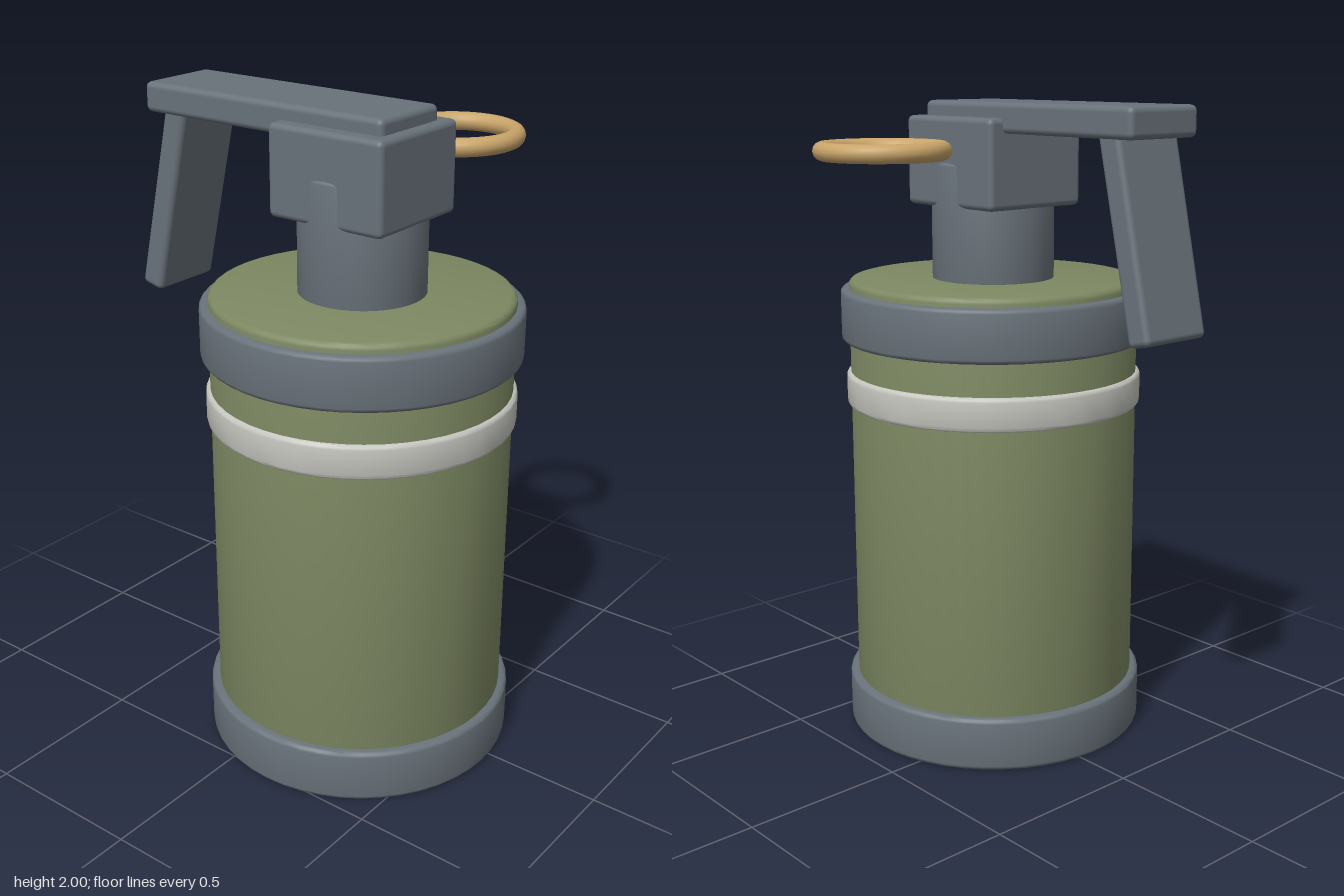
import * as THREE from 'three';
import { toCreasedNormals } from 'three/addons/utils/BufferGeometryUtils.js';
import { RoundedBoxGeometry } from 'three/addons/geometries/RoundedBoxGeometry.js';

const CX = -0.053, CZ = 0.155; // canister axis

export function createModel() {
  const model = new THREE.Group();
  model.name = 'canister';

  const material = (name, color) => {
    const m = new THREE.MeshStandardMaterial({ color });
    m.name = name;
    return m;
  };
  const olive = material('olive paint', 0x7d8862);
  const steel = material('grey steel', 0x69727a);
  const white = material('off-white band', 0xc4c5be);
  const brass = material('brass', 0xc8a469);

  const add = (name, geometry, mat, x, y, z) => {
    const mesh = new THREE.Mesh(geometry, mat);
    mesh.name = name;
    mesh.position.set(x, y, z);
    model.add(mesh);
    return mesh;
  };

  // Solid disc from y0 to y1 with softly bevelled rims
  const drum = (name, radius, y0, y1, bevel, mat) => {
    const points = [new THREE.Vector2(0, y0)];
    for (let i = 0; i <= 3; i++) {
      const a = (i / 3) * Math.PI / 2;
      points.push(new THREE.Vector2(radius - bevel + bevel * Math.sin(a), y0 + bevel - bevel * Math.cos(a)));
    }
    for (let i = 0; i <= 3; i++) {
      const a = (i / 3) * Math.PI / 2;
      points.push(new THREE.Vector2(radius - bevel + bevel * Math.cos(a), y1 - bevel + bevel * Math.sin(a)));
    }
    points.push(new THREE.Vector2(0, y1));
    const geometry = toCreasedNormals(new THREE.LatheGeometry(points, 48), 0.6);
    return add(name, geometry, mat, CX, 0, CZ);
  };

  const block = (name, w, h, d, x, y, z) =>
    add(name, new RoundedBoxGeometry(w, h, d, 3, 0.018), steel, x, y, z);

  // Canister
  drum('body', 0.452, 0.02, 1.46, 0.018, olive);
  drum('bottomRim', 0.478, 0, 0.168, 0.014, steel);
  drum('topRim', 0.478, 1.27, 1.432, 0.014, steel);
  drum('band', 0.465, 1.065, 1.17, 0.014, white);

  // Fuse
  drum('neck', 0.19, 1.42, 1.82, 0.012, steel);
  block('fuseHead', 0.368, 0.27, 0.395, CX, 1.82, 0.152);

  // Safety lever: flat top and sloping handle
  block('leverTop', 0.272, 0.09, 0.875, CX, 1.955, -0.122);
  const handle = block('leverHandle', 0.245, 0.62, 0.08, CX, 1.652, -0.518);
  handle.rotation.x = 0.225;

  // Pull ring
  const ring = add('pullRing', new THREE.TorusGeometry(0.178, 0.028, 14, 48), brass, 0.322, 1.86, 0.219);
  ring.rotation.x = Math.PI / 2;

  return model;
}
